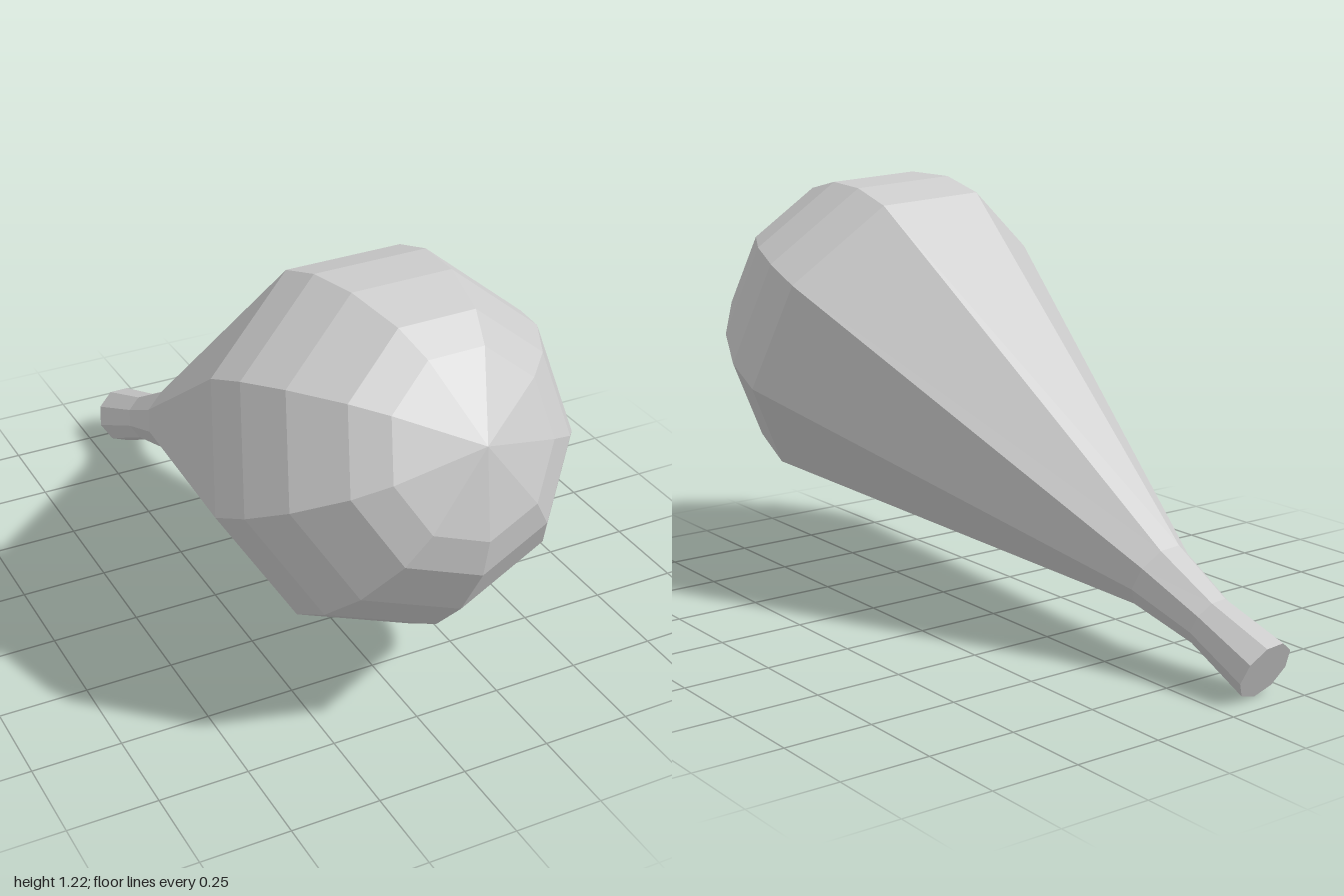
import * as THREE from 'three';

export function createModel() {
  const model = new THREE.Group();

  // Profile along the axis: [radius, distance from the neck end]
  const profile = [
    [0, 0], [0.088, 0], [0.074, 0.205], [0.1, 0.405], // capped, waisted neck
    [0.505, 1.61], // cone up to the widest ring
    [0.489, 1.738], [0.432, 1.869], [0.331, 1.997], [0.241, 2.054], [0, 2.118], // dome
  ].map(([r, t]) => new THREE.Vector2(r, t));

  const geometry = new THREE.LatheGeometry(profile, 9);

  // Lean the nine-sided body: the axis rises to the front, one ridge points down
  const axis = new THREE.Vector3(0.094, 0.45, 1).normalize();
  const side = new THREE.Vector3().crossVectors(axis, new THREE.Vector3(0, -1, 0.45)).normalize();
  const ridge = new THREE.Vector3().crossVectors(side, axis);
  geometry.applyMatrix4(new THREE.Matrix4().makeBasis(side, axis, ridge).setPosition(-0.14, 0.08, -0.965));

  const body = new THREE.Mesh(
    geometry,
    new THREE.MeshStandardMaterial({ color: 0xcccccc, flatShading: true })
  );
  body.name = 'bulbWithNeck';
  model.add(body);
  return model;
}
